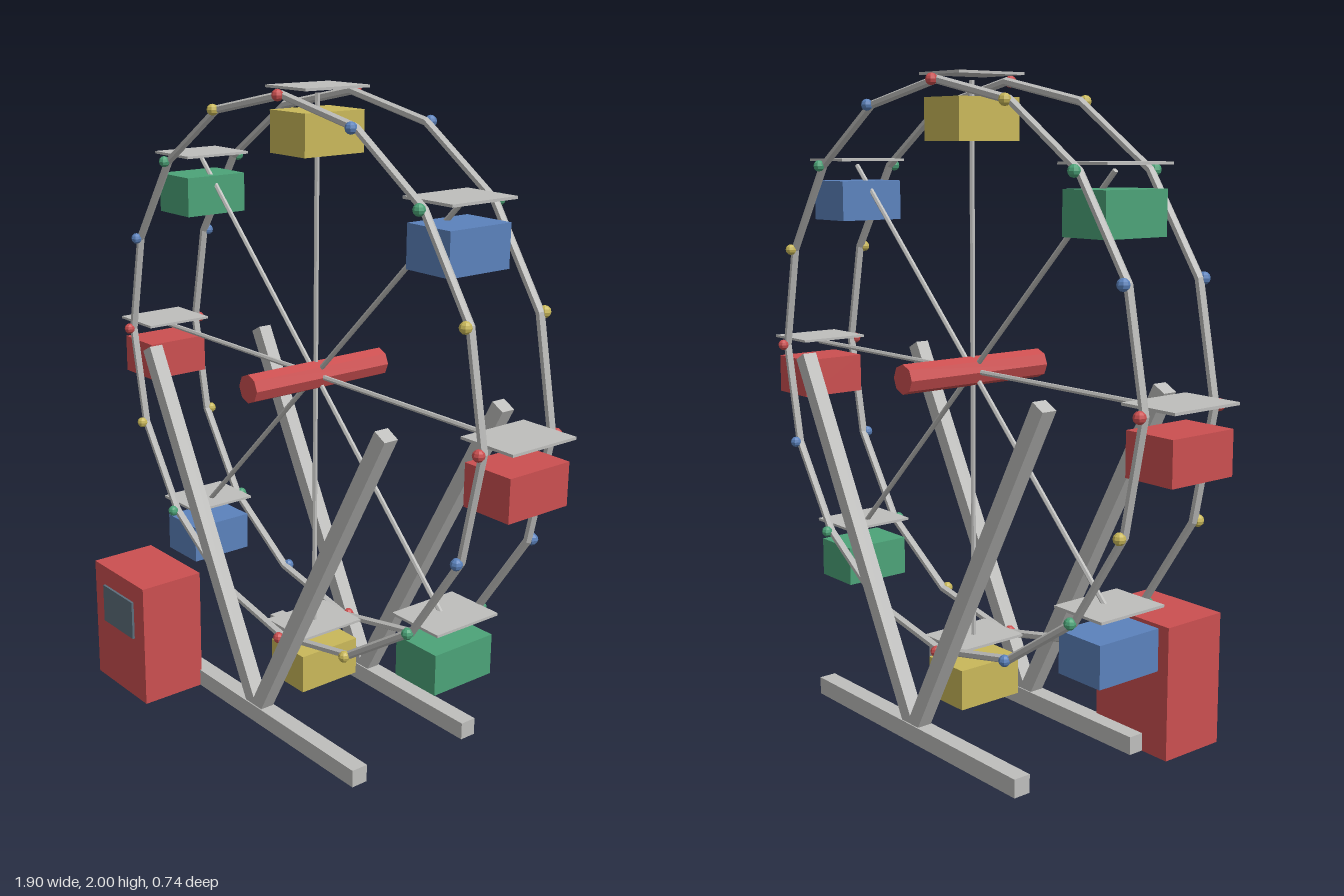
import * as THREE from 'three';

const CY = 1.12, CZ = -0.11, R = 0.857;

function mat(name, color) {
  const m = new THREE.MeshStandardMaterial({ color });
  m.name = name;
  return m;
}

export function createModel() {
  const red = mat('red', 0xcb4f50), blue = mat('blue', 0x5b82bc);
  const yellow = mat('yellow', 0xc9b85a), green = mat('green', 0x4ca378);
  const steel = mat('steel grey', 0xbebebc), glass = mat('slate glass', 0x5c6e7b);

  const model = new THREE.Group();
  model.name = 'ferrisWheel';

  function add(parent, name, geometry, material, x, y, z) {
    // faceted look
    const mesh = new THREE.Mesh(geometry.index ? geometry.toNonIndexed() : geometry, material);
    mesh.geometry.computeVertexNormals();
    mesh.name = name;
    mesh.position.set(x, y, z);
    parent.add(mesh);
    return mesh;
  }
  const box = (parent, name, w, h, d, material, x, y, z) =>
    add(parent, name, new THREE.BoxGeometry(w, h, d), material, x, y, z);

  // Wheel: two rims, spokes, bulbs
  const wheel = new THREE.Group();
  wheel.name = 'wheel';
  wheel.position.set(0, CY, CZ);
  model.add(wheel);

  for (const s of [1, -1]) {
    add(wheel, 'rim', new THREE.TorusGeometry(R, 0.013, 6, 16), steel, 0, 0, s * 0.13);
    const bulbColors = [red, yellow, green, blue];
    for (let i = 0; i < 16; i++) {
      const a = i * Math.PI / 8;
      add(wheel, 'bulb', new THREE.SphereGeometry(0.018, 8, 6), bulbColors[i % 4],
        R * Math.cos(a), R * Math.sin(a), s * 0.147);
    }
  }
  for (let i = 0; i < 4; i++) {
    const spoke = add(wheel, 'spoke', new THREE.CylinderGeometry(0.008, 0.008, 2 * R, 6), steel, 0, 0, 0);
    spoke.rotation.z = i * Math.PI / 4;
  }
  const hub = add(wheel, 'hub', new THREE.CylinderGeometry(0.045, 0.045, 0.52, 8), red, 0, 0, 0);
  hub.rotation.x = Math.PI / 2;

  // Hanging cabins with flat canopies
  const cabinColors = [red, blue, yellow, green];
  for (let i = 0; i < 8; i++) {
    const a = i * Math.PI / 4;
    const cabin = new THREE.Group();
    cabin.name = 'cabin';
    cabin.position.set(R * Math.cos(a), R * Math.sin(a), 0);
    box(cabin, 'cabinBody', 0.166, 0.126, 0.224, cabinColors[i % 4], 0, -0.111, 0);
    box(cabin, 'cabinCanopy', 0.19, 0.008, 0.24, steel, 0, 0.019, 0);
    wheel.add(cabin);
  }

  // V-shaped supports on ground beams
  const legX = 0.585, y0 = 0.03;
  for (const s of [1, -1]) {
    const z = CZ + s * 0.225;
    box(model, 'groundBeam', 1, 0.056, 0.056, steel, 0, 0.028, z);
    for (const side of [1, -1]) {
      const leg = box(model, 'supportLeg', 0.048, Math.hypot(legX, CY - y0), 0.048, steel,
        side * legX / 2, (CY + y0) / 2, z);
      leg.rotation.z = -side * Math.atan2(legX, CY - y0);
    }
  }

  // Ticket booth
  box(model, 'ticketBooth', 0.3, 0.412, 0.222, red, -0.45, 0.206, 0.248);
  box(model, 'boothWindow', 0.18, 0.13, 0.008, glass, -0.45, 0.281, 0.363);

  return model;
}
